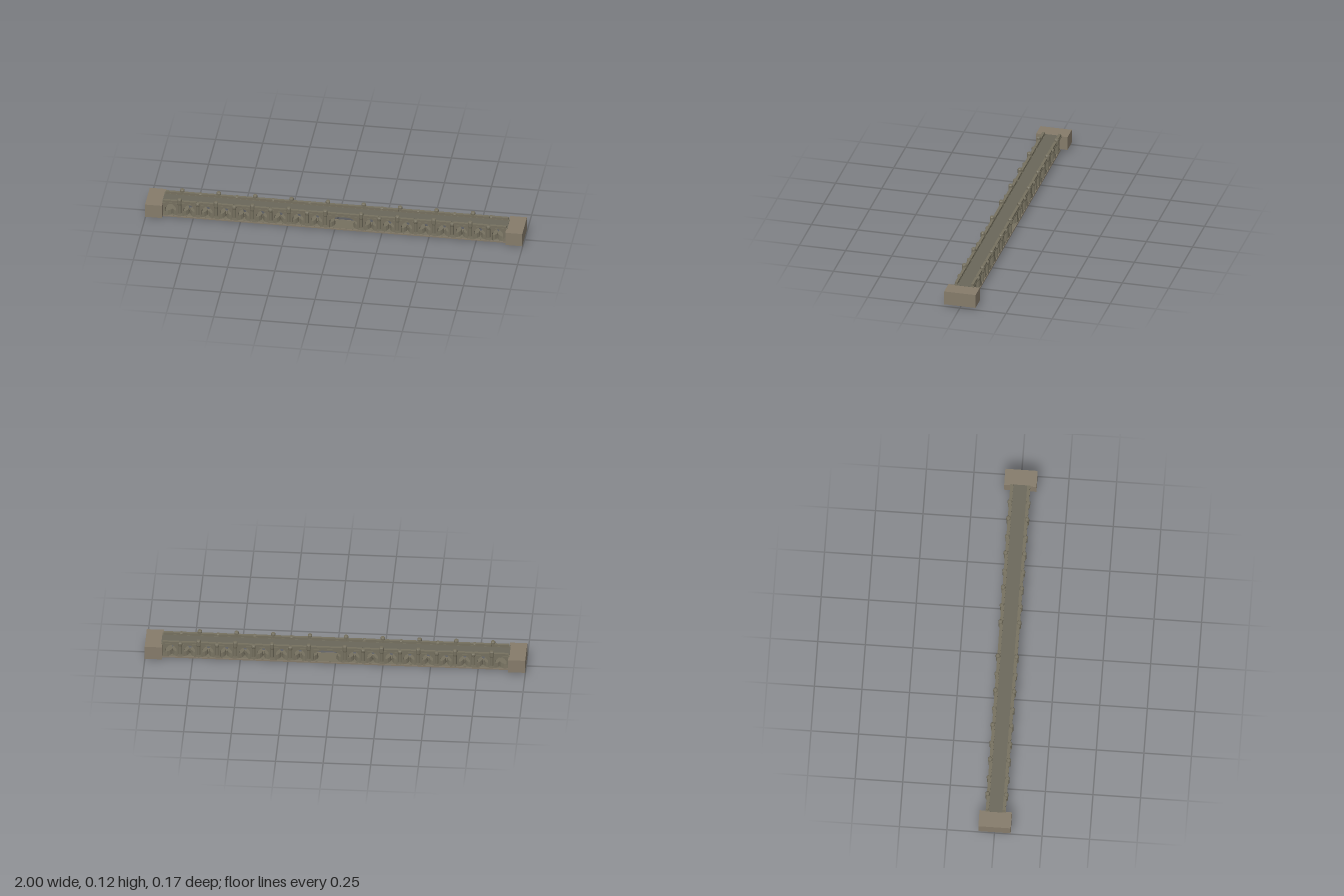
import * as THREE from 'three';

export function createModel() {
  const group = new THREE.Group();
  group.name = 'archBridge';
  const stone = new THREE.MeshStandardMaterial({ color: 0x857b6a, flatShading: true });
  const masonry = new THREE.MeshStandardMaterial({ color: 0x75705f, flatShading: true });
  const paving = new THREE.MeshStandardMaterial({ color: 0x6a675a, flatShading: true });

  function add(name, geometry, material, x = 0, y = 0, z = 0) {
    const mesh = new THREE.Mesh(geometry, material);
    mesh.name = name;
    mesh.position.set(x, y, z);
    group.add(mesh);
    return mesh;
  }
  const box = (name, mat, x0, x1, y0, y1, z0, z1) =>
    add(name, new THREE.BoxGeometry(x1 - x0, y1 - y0, z1 - z0), mat,
      (x0 + x1) / 2, (y0 + y1) / 2, (z0 + z1) / 2);

  const step = 0.0965, end = 0.915, bed = 0.008;

  // Pier positions either side of the wide central span
  const piers = [];
  for (let k = 8; k >= 0; k--) piers.push({ x: -0.05 - step * k, tall: k % 2 === 0 });
  for (let k = 0; k < 8; k++) piers.push({ x: 0.14 + step * k, tall: k % 2 === 0 });

  // Foundation slab and abutment blocks
  box('foundation', stone, -end, end, 0, bed, -0.046, 0.046);
  for (const s of [-1, 1]) {
    box('abutment', stone, s < 0 ? -1 : 0.91, s < 0 ? -0.91 : 1, 0.012, 0.087, -0.085, 0.085);
  }

  // Arcade wall pierced by pointed arches
  const wall = new THREE.Shape();
  wall.moveTo(-end, bed);
  wall.lineTo(end, bed);
  wall.lineTo(end, 0.086);
  wall.lineTo(-end, 0.086);
  wall.closePath();
  function arch(cx, half, spring, peak) {
    const p = new THREE.Path();
    p.moveTo(cx - half, bed + 0.0005);
    p.lineTo(cx - half, spring);
    p.lineTo(cx - half * 0.62, spring + (peak - spring) * 0.58);
    p.lineTo(cx - half * 0.15, peak);
    p.lineTo(cx + half * 0.15, peak);
    p.lineTo(cx + half * 0.62, spring + (peak - spring) * 0.58);
    p.lineTo(cx + half, spring);
    p.lineTo(cx + half, bed + 0.0005);
    p.closePath();
    wall.holes.push(p);
  }
  for (let k = 0; k < 9; k++) arch(-0.098 - step * k, 0.029, 0.052, 0.079);
  for (let k = 0; k < 8; k++) arch(0.188 + step * k, 0.029, 0.052, 0.079);
  arch(0.045, 0.072, 0.055, 0.082);
  const wallGeo = new THREE.ExtrudeGeometry(wall, { depth: 0.084, bevelEnabled: false });
  wallGeo.translate(0, 0, -0.042);
  add('arcadeWall', wallGeo, masonry);

  // Roadway, cornices and parapets
  box('roadway', paving, -end, end, 0.084, 0.088, -0.04, 0.04);
  const stops = [-end, ...piers.map(p => p.x), end];
  for (const s of [-1, 1]) {
    const strip = (name, x0, x1, y0, y1, z0, z1) =>
      box(name, masonry, x0, x1, y0, y1, Math.min(s * z0, s * z1), Math.max(s * z0, s * z1));
    strip('cornice', -end, end, 0.083, 0.09, 0.036, 0.053);
    for (let i = 0; i < stops.length - 1; i++) {
      strip('parapet', stops[i] + 0.006, stops[i + 1] - 0.006, 0.09, 0.102, 0.037, 0.051);
    }
  }

  // Rounded pier footings
  const footing = new THREE.CylinderGeometry(0.044, 0.048, 0.026, 16);
  footing.scale(1, 1, 0.95);
  for (const x of [-0.902, ...piers.map(p => p.x), 0.902]) {
    add('pierFooting', footing, masonry, x, bed + 0.013, 0);
  }

  // Round buttresses; every second pair rises above the parapet as a bollard
  function buttress(top) {
    const r = 0.012;
    const profile = [[0, 0.03], [r * 0.8, 0.03], [r * 0.8, 0.08], [r, 0.088],
      [r, top - 0.006], [r * 0.75, top - 0.001], [0, top]];
    return new THREE.LatheGeometry(profile.map(([a, b]) => new THREE.Vector2(a, b)), 10);
  }
  const tallPost = buttress(0.118), lowPost = buttress(0.102);
  for (const { x, tall } of piers) {
    for (const s of [-1, 1]) {
      add(tall ? 'bollardButtress' : 'buttress', tall ? tallPost : lowPost, masonry, x, 0, s * 0.049);
    }
  }
  return group;
}
